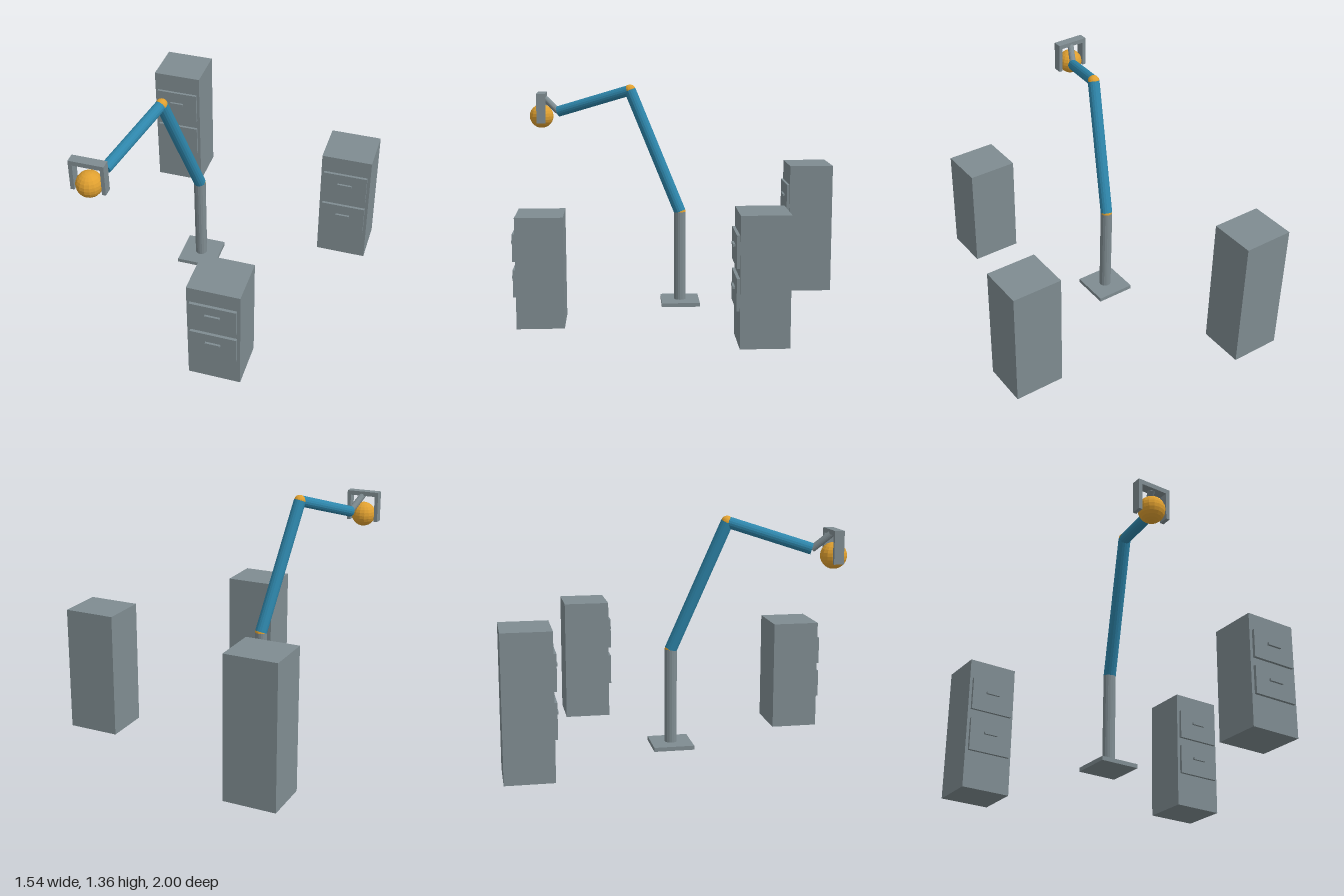
import * as THREE from 'three';

const V = (x, y, z) => new THREE.Vector3(x, y, z);

export function createModel() {
  const model = new THREE.Group();
  model.name = 'robotArmWithCabinets';

  const paint = (name, color) => {
    const m = new THREE.MeshStandardMaterial({ color, flatShading: true });
    m.name = name;
    return m;
  };
  const grey = paint('steelGrey', 0x7f8c91);
  const blue = paint('armBlue', 0x2e86ab);
  const gold = paint('amber', 0xe0a030);

  const add = (parent, name, geometry, material, x, y, z) => {
    const mesh = new THREE.Mesh(geometry, material);
    mesh.name = name;
    mesh.position.set(x, y, z);
    parent.add(mesh);
    return mesh;
  };
  const box = (parent, name, w, h, d, x, y, z) =>
    add(parent, name, new THREE.BoxGeometry(w, h, d), grey, x, y, z);
  const ball = (parent, name, r, p) =>
    add(parent, name, new THREE.SphereGeometry(r, 16, 12), gold, p.x, p.y, p.z);
  // Cylinder running from one point to another
  const rod = (parent, name, a, b, r, material) => {
    const dir = b.clone().sub(a);
    const mid = a.clone().lerp(b, 0.5);
    const mesh = add(parent, name, new THREE.CylinderGeometry(r, r, dir.length(), 16), material, mid.x, mid.y, mid.z);
    mesh.quaternion.setFromUnitVectors(V(0, 1, 0), dir.normalize());
  };

  // Filing cabinets: centre x, height, back z
  const width = 0.304, depth = 0.276;
  [[-0.622, 0.823, -1], [0.617, 0.736, -0.547], [0.166, 0.651, 0.694]].forEach(([x, h, back], i) => {
    const cabinet = new THREE.Group();
    cabinet.name = 'cabinet' + (i + 1);
    cabinet.position.set(x, 0, back + depth);
    model.add(cabinet);
    box(cabinet, 'cabinetBody', width, h, depth, 0, h / 2, -depth / 2);
    for (const level of [0.405, 0.726]) {
      box(cabinet, 'drawerFront', 0.268, h * 0.247, 0.017, 0, h * level, 0.0085);
      box(cabinet, 'drawerHandle', 0.087, 0.014, 0.014, 0, h * (level + 0.025), 0.023);
    }
  });

  // Robot arm
  const arm = new THREE.Group();
  arm.name = 'robotArm';
  model.add(arm);
  const shoulder = V(-0.229, 0.58, 0);
  const elbow = V(-0.335, 1.324, 0.302);
  const wrist = V(-0.492, 1.181, 0.753);
  const hand = V(-0.541, 1.28, 0.86);

  box(arm, 'basePlate', 0.236, 0.024, 0.236, shoulder.x, 0.012, 0);
  rod(arm, 'post', V(shoulder.x, 0.02, 0), shoulder, 0.036, grey);
  ball(arm, 'shoulderJoint', 0.036, shoulder);
  rod(arm, 'upperArm', shoulder, elbow, 0.036, blue);
  ball(arm, 'elbowJoint', 0.035, elbow);
  rod(arm, 'forearm', elbow, wrist, 0.033, blue);
  rod(arm, 'wristRod', wrist, hand, 0.02, grey);

  // Gripper holding a ball
  box(arm, 'gripperBar', 0.2, 0.027, 0.056, hand.x, 1.282, hand.z);
  for (const side of [-1, 1]) {
    box(arm, 'gripperFinger', 0.022, 0.172, 0.056, hand.x + side * 0.089, 1.196, hand.z);
  }
  ball(arm, 'heldBall', 0.075, V(hand.x, 1.148, 0.862));

  return model;
}
